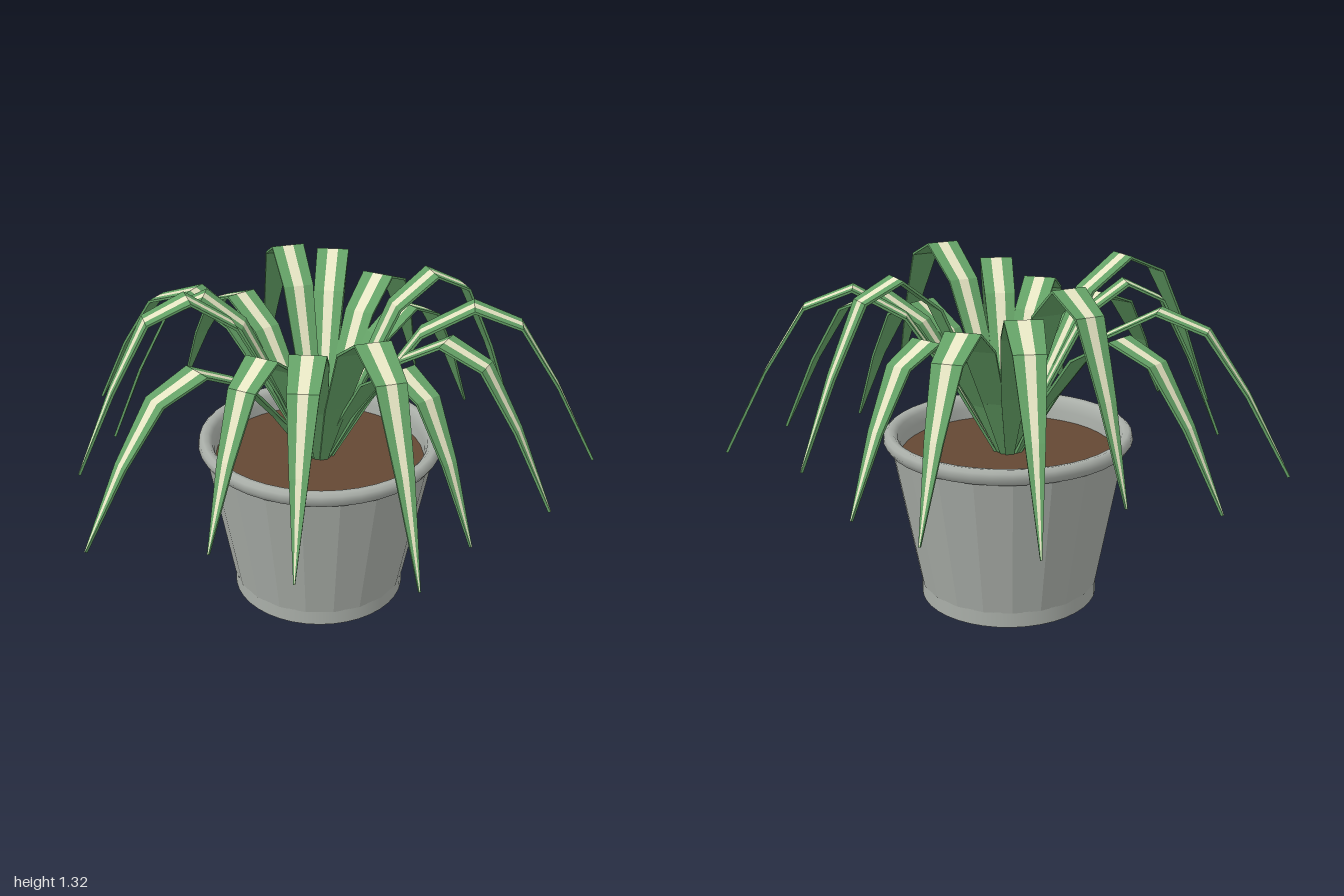
import * as THREE from 'three';

const mat = (name, color) => {
  const m = new THREE.MeshStandardMaterial({ color });
  m.name = name;
  return m;
};

// Leaf cross-sections: fraction of reach, height when low, height when tall, half width
const SECTIONS = [
  [0.04, 0.585, 0.585, 0.016],
  [0.18, 0.81, 0.89, 0.044],
  [0.35, 1.025, 1.195, 0.061],
  [0.53, 1.122, 1.315, 0.066],
  [0.70, 1.058, 1.245, 0.055],
  [0.845, 0.855, 0.985, 0.033],
  [1.0, 0.57, 0.65, 0.003],
];
const THICKNESS = 0.01;
const STRIPE = 0.33;

// Skin over a chain of corners [share of half width, share of thickness], swept along the leaf
function sweep(reach, tall, corners) {
  const spine = SECTIONS.map(([f, low, high]) => new THREE.Vector2(f * reach, low + (high - low) * tall));
  const rows = spine.map((p, i) => {
    const along = spine[Math.min(i + 1, spine.length - 1)].clone()
      .sub(spine[Math.max(i - 1, 0)]).normalize();
    return corners.map(([s, d]) => [
      p.x + along.y * d * THICKNESS, p.y - along.x * d * THICKNESS, s * SECTIONS[i][3]]);
  });
  const pos = [];
  for (let i = 0; i < rows.length - 1; i++) {
    for (let j = 0; j < corners.length - 1; j++) {
      const a0 = rows[i][j], b0 = rows[i][j + 1], a1 = rows[i + 1][j], b1 = rows[i + 1][j + 1];
      pos.push(...a0, ...b0, ...a1, ...b0, ...b1, ...a1);
    }
  }
  const g = new THREE.BufferGeometry();
  g.setAttribute('position', new THREE.Float32BufferAttribute(pos, 3));
  g.computeVertexNormals();
  return g;
}

export function createModel() {
  const stone = mat('potGrey', 0xa9aea8);
  const soilBrown = mat('soilBrown', 0x644834);
  const green = mat('leafGreen', 0x64a166);
  const cream = mat('stripeCream', 0xe6e5c3);

  const group = new THREE.Group();
  const plant = new THREE.Group();
  plant.name = 'pottedPlant';
  plant.position.x = 0.095;
  group.add(plant);

  const add = (parent, name, geometry, material) => {
    const mesh = new THREE.Mesh(geometry, material);
    mesh.name = name;
    parent.add(mesh);
    return mesh;
  };
  const lathe = (points, sides) =>
    new THREE.LatheGeometry(points.map(([x, y]) => new THREE.Vector2(x, y)), sides, 0.1);

  // Straight round foot with a closed base
  add(plant, 'potFoot', lathe([[0.35, 0], [0.35, 0.062]], 40), stone);
  const base = new THREE.CircleGeometry(0.35, 40);
  base.rotateX(Math.PI / 2);
  add(plant, 'potBase', base, stone);

  // Faceted flaring body
  const body = lathe([[0.353, 0.06], [0.458, 0.63]], 20).toNonIndexed();
  body.computeVertexNormals();
  add(plant, 'potBody', body, stone);

  // Rounded rim and inner wall
  add(plant, 'potRim', lathe([
    [0.45, 0.62], [0.468, 0.625], [0.484, 0.65], [0.48, 0.672], [0.466, 0.684],
    [0.445, 0.68], [0.43, 0.665], [0.42, 0.63], [0.415, 0.56],
  ], 40), stone);

  // Soil
  const soil = new THREE.CircleGeometry(0.42, 40);
  soil.rotateX(-Math.PI / 2);
  add(plant, 'soil', soil, soilBrown).position.y = 0.59;

  // Ring of arching striped leaves, cycling through three reaches and four heights
  const reaches = [0.84, 0.96, 1.08];
  const blade = [[STRIPE, 0], [1, 0], [1, 1], [-1, 1], [-1, 0], [-STRIPE, 0]];
  const stripe = [[-STRIPE, 0], [STRIPE, 0]];
  for (let k = 0; k < 16; k++) {
    const reach = reaches[k % 3], tall = (k % 4) / 3;
    const leaf = new THREE.Group();
    leaf.name = 'leaf' + (k + 1);
    leaf.rotation.y = (k * Math.PI) / 8;
    add(leaf, 'leafBlade', sweep(reach, tall, blade), green);
    add(leaf, 'leafStripe', sweep(reach, tall, stripe), cream);
    plant.add(leaf);
  }
  return group;
}
